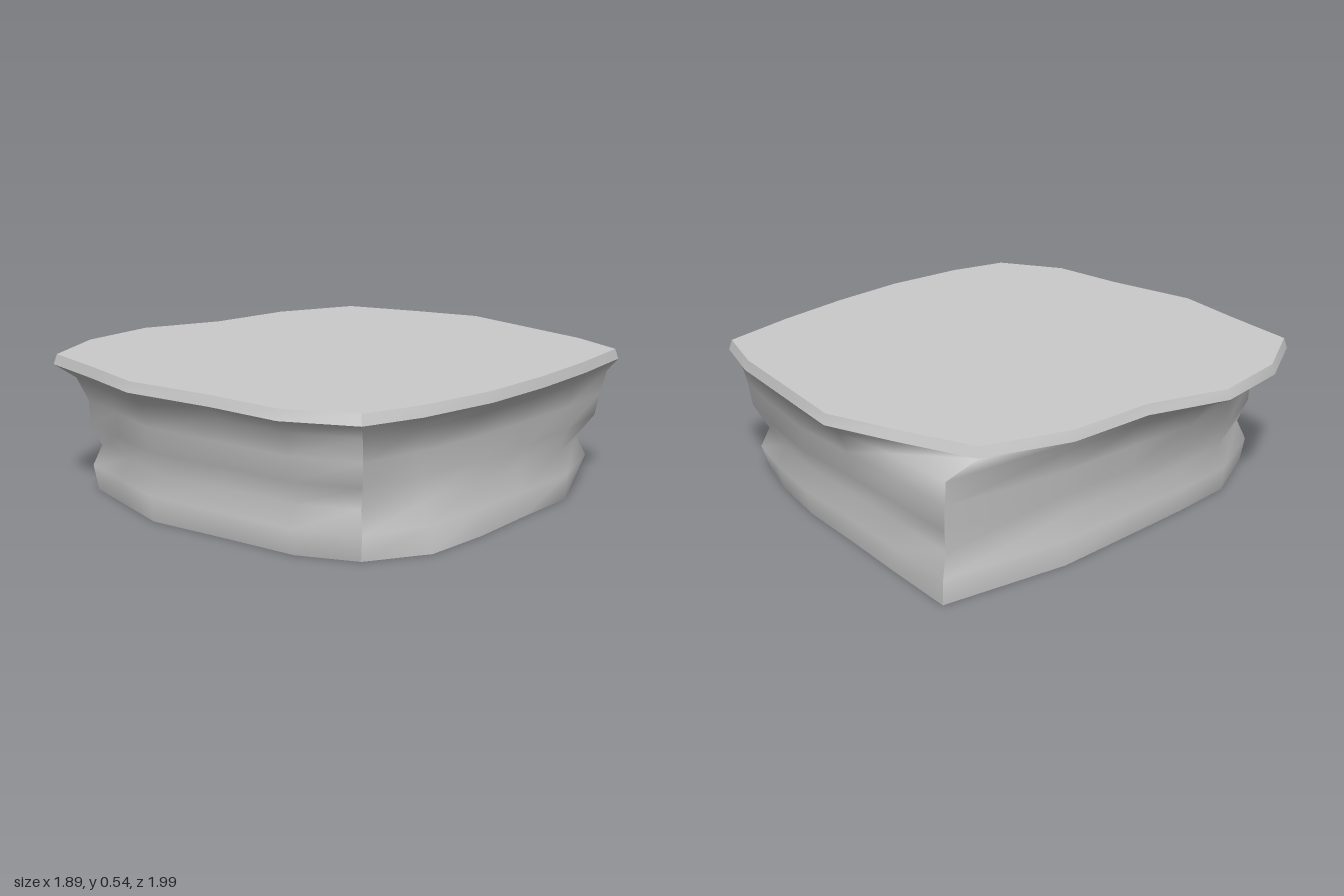
import * as THREE from 'three';

// One row per column around the slab: cap x,z, base x,z, neck x,z.
// Each side starts at a sharp corner and runs to the next side's first column.
const sides = {
  back: [
    [-0.71, -0.82, -0.69, -0.97, -0.69, -0.955],
    [-0.4, -0.92, -0.39, -0.925, -0.38, -0.92],
    [-0.11, -1.0, -0.09, -0.875, -0.1, -0.89],
    [0.22, -0.93, 0.21, -0.83, 0.22, -0.86],
    [0.55, -0.86, 0.47, -0.76, 0.5, -0.79],
  ],
  left: [
    [0.8, -0.76, 0.65, -0.69, 0.75, -0.715],
    [0.87, -0.44, 0.82, -0.4, 0.81, -0.41],
    [0.92, -0.11, 0.85, -0.1, 0.84, -0.1],
    [0.945, 0.22, 0.89, 0.2, 0.86, 0.2],
    [0.92, 0.56, 0.9, 0.48, 0.85, 0.5],
  ],
  front: [
    [0.86, 0.8, 0.78, 0.715, 0.82, 0.75],
    [0.6, 0.935, 0.56, 0.82, 0.57, 0.86],
    [0.28, 0.945, 0.25, 0.85, 0.26, 0.88],
    [-0.11, 0.99, -0.1, 0.89, -0.1, 0.91],
    [-0.4, 0.92, -0.35, 0.82, -0.36, 0.84],
  ],
  right: [
    [-0.73, 0.85, -0.6, 0.75, -0.62, 0.77],
    [-0.89, 0.56, -0.73, 0.47, -0.74, 0.48],
    [-0.945, 0.22, -0.75, 0.2, -0.78, 0.2],
    [-0.84, -0.11, -0.76, -0.1, -0.77, -0.1],
    [-0.83, -0.48, -0.77, -0.455, -0.76, -0.47],
  ],
};

const RIM_Y = 0.5, TOP_Y = 0.54;

// Vertical section of the wall at one column, bulging and pinching upwards.
function wallColumn([cx, cz, bx, bz, nx, nz]) {
  const cap = new THREE.Vector3(cx, RIM_Y, cz);
  const base = new THREE.Vector3(bx, 0, bz);
  const neck = new THREE.Vector3(nx, 0.36, nz);
  const between = (a, b, t, y, s = 1) => a.clone().lerp(b, t).multiplyScalar(s).setY(y);
  // Where the base juts past the cap, the wall stays upright almost to the rim.
  const flare = Math.hypot(bx, bz) > Math.hypot(cx, cz) ? 0.04 : 0.35;
  return [
    base,
    between(base, neck, 0.4, 0.1, 1.008),
    between(base, neck, 0.4, 0.18, 0.97),
    between(base, neck, 0.8, 0.27),
    neck,
    between(neck, cap, flare, 0.45),
    cap,
  ];
}

// Edge of the thin cap, tapering slightly towards the top.
function rimColumn([cx, cz]) {
  return [new THREE.Vector3(cx, RIM_Y, cz), new THREE.Vector3(cx * 0.988, TOP_Y, cz * 0.988)];
}

function makeGeometry(points, index) {
  const geometry = new THREE.BufferGeometry().setFromPoints(points);
  geometry.setIndex(index);
  geometry.computeVertexNormals();
  return geometry;
}

// Smooth skin across a run of columns.
function strip(columns) {
  const n = columns[0].length, index = [];
  for (let i = 0; i < columns.length - 1; i++) {
    for (let j = 0; j < n - 1; j++) {
      const a = i * n + j, b = a + n;
      index.push(a, a + 1, b, b, a + 1, b + 1);
    }
  }
  return makeGeometry(columns.flat(), index);
}

// Flat face closing a ring.
function disc(ring, up) {
  const n = ring.length, index = [];
  for (let i = 0; i < n; i++) {
    const a = i + 1, b = ((i + 1) % n) + 1;
    index.push(0, ...(up ? [b, a] : [a, b]));
  }
  return makeGeometry([new THREE.Vector3(0, ring[0].y, 0), ...ring], index);
}

export function createModel() {
  const group = new THREE.Group();
  group.name = 'rockPlatform';
  const material = new THREE.MeshStandardMaterial({ color: 0xcccccc, side: THREE.DoubleSide });
  const add = (name, geometry) => {
    const mesh = new THREE.Mesh(geometry, material);
    mesh.name = name;
    group.add(mesh);
  };

  // Four walls and rims, split at the corners to keep those edges sharp
  const names = Object.keys(sides);
  names.forEach((name, i) => {
    const next = sides[names[(i + 1) % names.length]];
    const rows = [...sides[name], next[0]];
    add(name + 'Wall', strip(rows.map(wallColumn)));
    add(name + 'Rim', strip(rows.map(rimColumn)));
  });

  // Top slab and underside
  const all = Object.values(sides).flat();
  add('topSurface', disc(all.map((row) => rimColumn(row)[1]), true));
  add('underside', disc(all.map((row) => wallColumn(row)[0]), false));
  return group;
}
